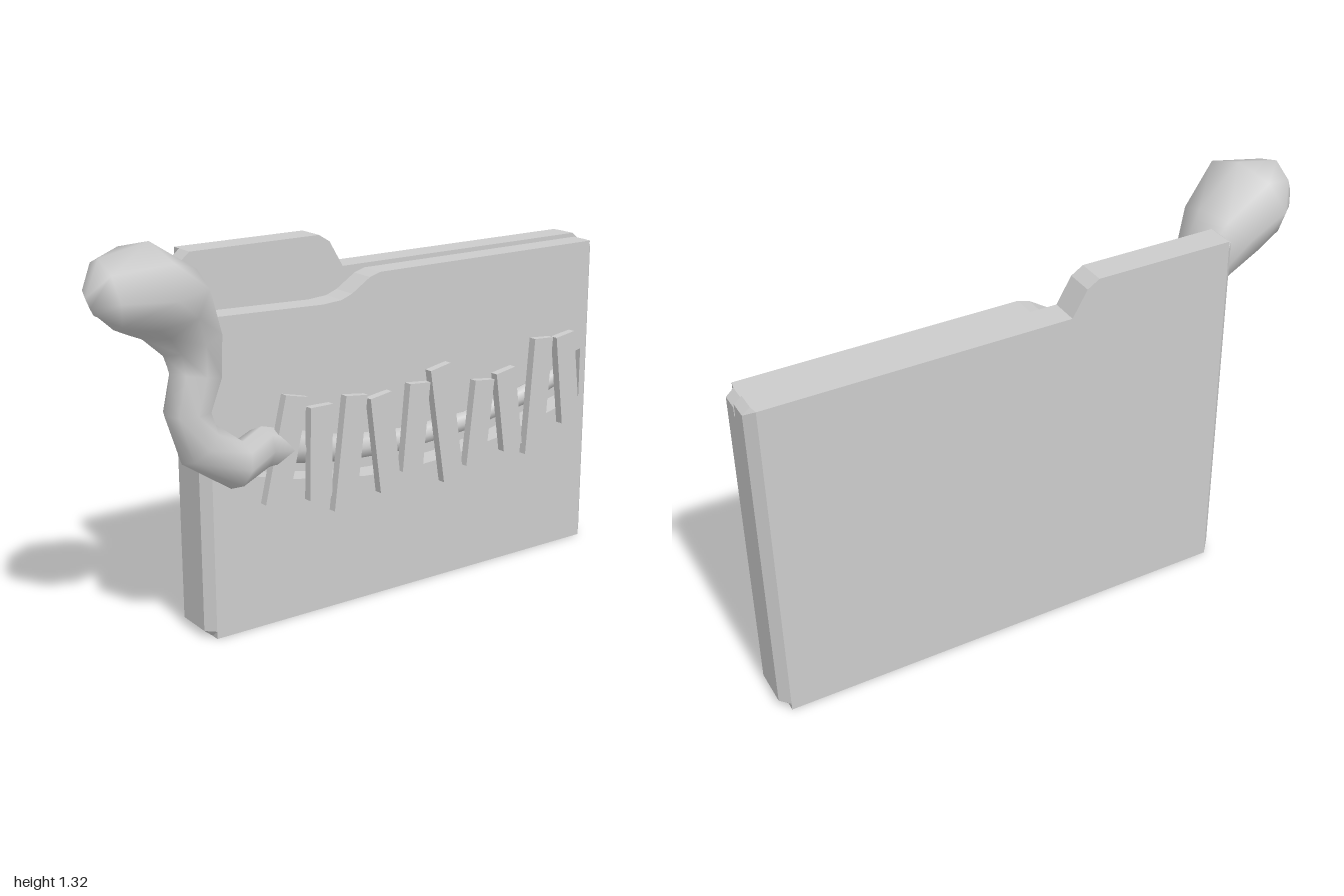
import * as THREE from 'three';

const material = new THREE.MeshStandardMaterial({ color: 0xcccccc, side: THREE.DoubleSide });
const LEFT = -0.605, RIGHT = 1, BEVEL = 0.03;

const toPoints = (list) => list.map(([x, y]) => new THREE.Vector2(x, y));

function addMesh(group, name, geometry) {
  const mesh = new THREE.Mesh(geometry, material);
  mesh.name = name;
  group.add(mesh);
  return mesh;
}

// Upright slab from zBack to zFront; the vertical edges at zBevel are chamfered.
function slab(outline, zBack, zFront, zBevel, hole) {
  const shape = new THREE.Shape(toPoints(outline));
  if (hole) shape.holes.push(new THREE.Path(toPoints(hole)));
  const geometry = new THREE.ExtrudeGeometry(shape, { depth: zFront - zBack, steps: 3, bevelEnabled: false });
  geometry.translate(0, 0, zBack);
  const pos = geometry.attributes.position;
  for (let i = 0; i < pos.count; i++) {
    if (Math.abs(pos.getZ(i) - zBevel) < 0.001) {
      pos.setX(i, THREE.MathUtils.clamp(pos.getX(i), LEFT + BEVEL, RIGHT - BEVEL));
    }
  }
  geometry.computeVertexNormals();
  return geometry;
}

// Loft of elliptical rings along a path: [x, y, z, depth radius, in-plane radius].
function loft(rings, sides) {
  const centres = rings.map((r) => new THREE.Vector3(r[0], r[1], r[2]));
  const positions = [], indices = [];
  rings.forEach((r, i) => {
    const tangent = centres[Math.min(i + 1, rings.length - 1)].clone()
      .sub(centres[Math.max(i - 1, 0)]).normalize();
    const u = new THREE.Vector3(0, 0, 1).addScaledVector(tangent, -tangent.z).normalize();
    const v = new THREE.Vector3().crossVectors(tangent, u);
    for (let j = 0; j < sides; j++) {
      const a = (j / sides) * Math.PI * 2;
      const p = centres[i].clone()
        .addScaledVector(u, Math.cos(a) * r[3])
        .addScaledVector(v, Math.sin(a) * r[4]);
      positions.push(p.x, p.y, p.z);
      if (i < rings.length - 1) {
        const a0 = i * sides + j, b0 = i * sides + ((j + 1) % sides);
        indices.push(a0, b0, a0 + sides, b0, b0 + sides, a0 + sides);
      }
    }
  });
  // End caps
  const last = (rings.length - 1) * sides;
  for (let j = 1; j < sides - 1; j++) {
    indices.push(0, j + 1, j, last, last + j, last + j + 1);
  }
  const geometry = new THREE.BufferGeometry();
  geometry.setAttribute('position', new THREE.Float32BufferAttribute(positions, 3));
  geometry.setIndex(indices);
  geometry.computeVertexNormals();
  return geometry;
}

export function createModel() {
  const model = new THREE.Group();
  const folder = new THREE.Group();
  folder.name = 'folder';
  model.add(folder);

  const base = [[LEFT, 0.025], [LEFT + BEVEL, 0], [RIGHT - BEVEL, 0], [RIGHT, 0.025]];

  // Back cover with its raised tab
  addMesh(folder, 'backCover', slab([
    ...base, [RIGHT, 1.1], [0.975, 1.12], [-0.02, 1.12], [-0.07, 1.205], [-0.11, 1.23],
    [LEFT + BEVEL, 1.23], [LEFT, 1.205],
  ], -0.245, -0.15, -0.245));

  // Front cover with a dipped top edge and a curved gash
  const frontTop = [
    [RIGHT, 1.085], [0.975, 1.107], [0.06, 1.107], [0.02, 1.095], [-0.05, 1.05],
    [-0.09, 1.035], [-0.16, 1.03], [LEFT + BEVEL, 1.045], [LEFT, 1.035],
  ];
  const gash = [
    [-0.56, 0.76], [-0.3, 0.675], [0, 0.63], [0.2, 0.617], [0.45, 0.622], [0.7, 0.655], [0.945, 0.72],
    [0.945, 0.54], [0.6, 0.46], [0.35, 0.428], [0.15, 0.42], [0, 0.43], [-0.3, 0.48], [-0.56, 0.555],
  ];
  addMesh(folder, 'frontCover', slab([...base, ...frontTop], -0.142, -0.055, -0.055, gash));

  // Recessed filling between the covers, also the floor of the gash
  const lowered = frontTop.map(([x, y]) => [x, y - 0.028]);
  addMesh(folder, 'innerPages', slab([...base, ...lowered], -0.152, -0.14, 9));

  // Tentacle lying in the gash, climbing out on one side to a swollen tip
  addMesh(model, 'tentacle', loft([
    [0.94, 0.635, -0.1, 0.025, 0.03],
    [0.7, 0.57, -0.1, 0.03, 0.035],
    [0.45, 0.525, -0.1, 0.03, 0.035],
    [0.2, 0.51, -0.1, 0.035, 0.04],
    [-0.05, 0.525, -0.1, 0.04, 0.045],
    [-0.25, 0.57, -0.09, 0.045, 0.055],
    [-0.4, 0.605, -0.055, 0.06, 0.07],
    [-0.53, 0.595, 0.02, 0.065, 0.075],
    [-0.665, 0.69, 0.03, 0.065, 0.078],
    [-0.705, 0.8, 0.04, 0.07, 0.075],
    [-0.665, 0.9, 0.025, 0.07, 0.085],
    [-0.665, 1.0, 0.01, 0.09, 0.1],
    [-0.73, 1.12, 0.005, 0.145, 0.13],
    [-0.85, 1.19, 0.05, 0.18, 0.135],
    [-0.95, 1.185, 0.05, 0.13, 0.105],
    [-0.995, 1.165, 0.03, 0.05, 0.04],
  ], 8));

  // Slats nailed across the gash: [x, y, tilt, length]
  const slats = new THREE.Group();
  slats.name = 'slats';
  model.add(slats);
  [
    [-0.32, 0.585, -0.24, 0.355], [-0.19, 0.555, -0.02, 0.31], [-0.075, 0.53, -0.13, 0.385],
    [0.065, 0.54, 0.13, 0.335], [0.19, 0.57, -0.1, 0.3], [0.32, 0.56, 0.16, 0.41],
    [0.465, 0.535, -0.12, 0.3], [0.595, 0.56, 0.15, 0.29], [0.73, 0.585, -0.08, 0.415],
    [0.865, 0.63, 0.13, 0.325],
  ].forEach(([x, y, tilt, length], i) => {
    const slat = addMesh(slats, 'slat' + (i + 1), new THREE.BoxGeometry(0.088, length, 0.028));
    slat.position.set(x, y, -0.042);
    slat.rotation.set(0, 0.06, tilt);
  });

  return model;
}
